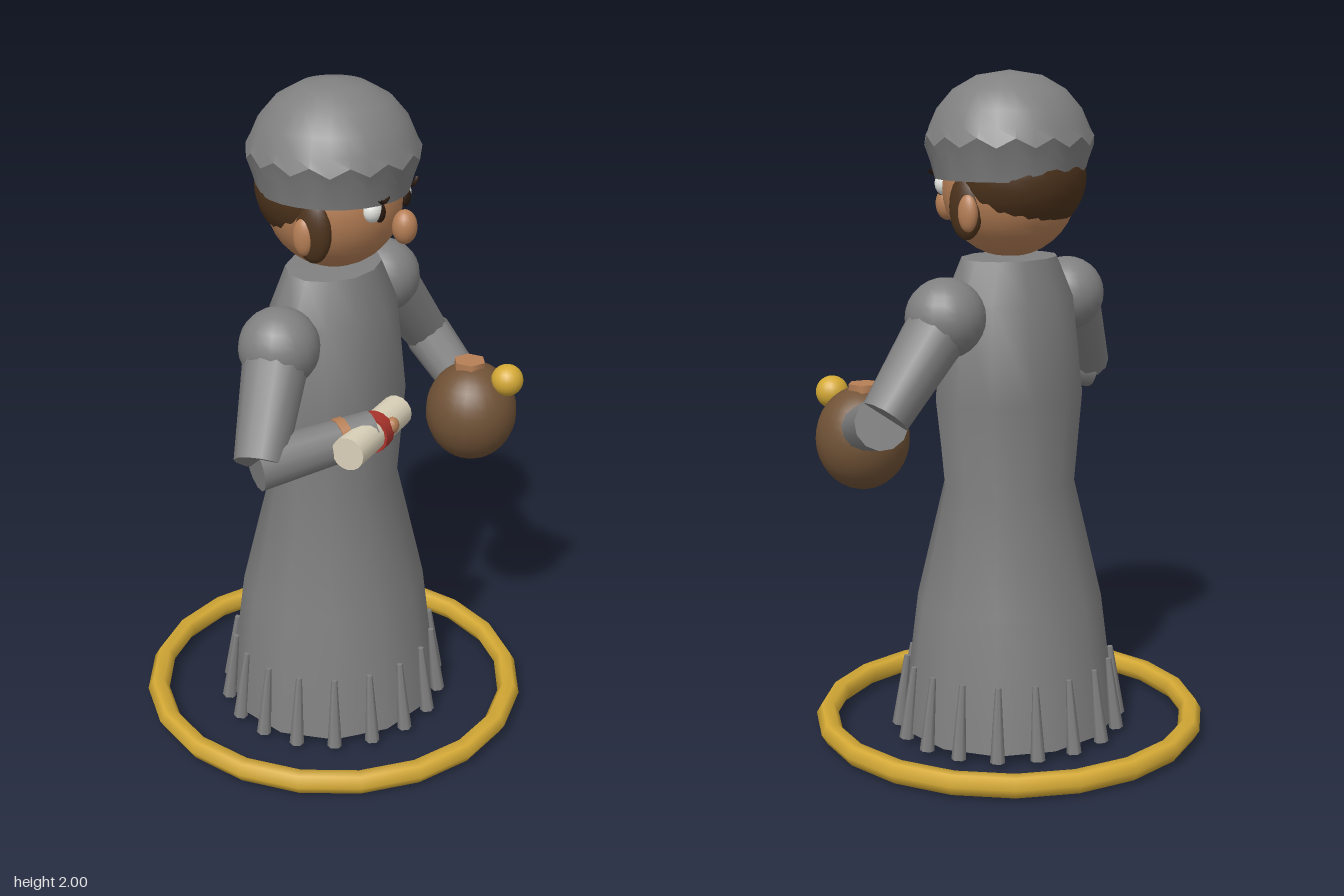
import * as THREE from 'three';
import { toCreasedNormals } from 'three/addons/utils/BufferGeometryUtils.js';

const paint = (name, color) => Object.assign(new THREE.MeshStandardMaterial({ color }), { name });

export function createModel() {
  const grey = paint('grey cloth', 0x808080);
  const skin = paint('skin', 0xb67f56);
  const hairBrown = paint('dark brown hair', 0x4d331c);
  const potBrown = paint('brown pot', 0x705236);
  const gold = paint('gold', 0xd4a935);
  const cream = paint('cream paper', 0xd9d0b8);
  const red = paint('red ribbon', 0xa8342c);
  const white = paint('eye white', 0xf2f2ee);
  const dark = paint('dark pupil', 0x2c1c12);

  const model = new THREE.Group();
  model.name = 'robedFigure';
  const V = (a) => new THREE.Vector3(...a);

  function add(name, geometry, material, pos = [0, 0, 0]) {
    const mesh = new THREE.Mesh(geometry, material);
    mesh.name = name;
    mesh.position.set(...pos);
    model.add(mesh);
    return mesh;
  }
  const ellipsoid = (name, material, pos, r, w = 20, h = 14) => {
    const mesh = add(name, new THREE.SphereGeometry(1, w, h), material, pos);
    mesh.scale.set(...r);
    return mesh;
  };
  // Tapered cylinder running from a to b
  function limb(name, material, a, b, ra, rb, sides = 12) {
    const dir = V(b).sub(V(a));
    const mesh = add(name, new THREE.CylinderGeometry(rb, ra, dir.length(), sides), material);
    mesh.position.copy(V(a)).addScaledVector(dir, 0.5);
    mesh.quaternion.setFromUnitVectors(new THREE.Vector3(0, 1, 0), dir.normalize());
    return mesh;
  }

  // Halo ring lying on the ground
  const ring = add('groundRing', new THREE.TorusGeometry(0.565, 0.034, 6, 20), gold, [0, 0.04, 0]);
  ring.rotation.x = Math.PI / 2;

  // Robe: oval sections [y, half width in x, half width in z]
  const sections = [
    [0.03, 0, 0], [0.03, 0.325, 0.345], [0.42, 0.275, 0.3], [0.78, 0.185, 0.228],
    [1.05, 0.2, 0.27], [1.34, 0.17, 0.24], [1.46, 0.13, 0.17], [1.47, 0, 0],
  ];
  const robe = new THREE.LatheGeometry(sections.map(([y, rx]) => new THREE.Vector2(rx, y)), 12);
  const rp = robe.attributes.position;
  for (let i = 0; i < rp.count; i++) {
    const [, rx, rz] = sections[i % sections.length];
    if (rx > 0) rp.setZ(i, rp.getZ(i) * rz / rx);
  }
  add('robe', toCreasedNormals(robe, 0.75), grey);

  // Tassels around the hem
  for (let i = 0; i < 18; i++) {
    const a = (i / 18) * Math.PI * 2;
    const c = Math.cos(a), s = Math.sin(a);
    limb('tassel', grey, [0.335 * c, 0.015, 0.355 * s], [0.308 * c, 0.235, 0.328 * s], 0.022, 0.009, 6);
  }

  // Head, hair and nose
  ellipsoid('head', skin, [0, 1.66, 0], [0.2, 0.2, 0.195], 24, 18);
  ellipsoid('hair', hairBrown, [-0.035, 1.695, 0], [0.193, 0.18, 0.203], 24, 18);
  ellipsoid('nose', skin, [0.225, 1.605, 0], [0.036, 0.05, 0.036]);

  // Cap with a scalloped brim
  const cap = new THREE.LatheGeometry([
    [0.16, 1.70], [0.218, 1.69], [0.232, 1.755], [0.248, 1.80], [0.234, 1.84],
    [0.212, 1.89], [0.165, 1.945], [0.095, 1.985], [0, 2],
  ].map(([r, y]) => new THREE.Vector2(r, y)), 28);
  const cp = cap.attributes.position;
  for (let i = 0; i < cp.count; i++) {
    const row = i % 9, column = Math.floor(i / 9);
    if (row === 2 || row === 3) cp.setY(i, cp.getY(i) + (column % 2 ? 0.014 : -0.014));
  }
  add('cap', toCreasedNormals(cap, 0.55), grey);

  for (const s of [1, -1]) {
    // Sidelocks, ears, eyes and brows
    ellipsoid('sidelock', hairBrown, [0.03, 1.615, s * 0.175], [0.056, 0.095, 0.032]);
    ellipsoid('ear', skin, [0.01, 1.6, s * 0.195], [0.032, 0.055, 0.022]);
    ellipsoid('eyeWhite', white, [0.168, 1.672, s * 0.088], [0.03, 0.036, 0.034]);
    ellipsoid('pupil', dark, [0.188, 1.664, s * 0.08], [0.014, 0.028, 0.02]);
    const brow = add('brow', new THREE.TorusGeometry(0.035, 0.006, 6, 10, Math.PI * 0.6), dark, [0.205, 1.735, s * 0.09]);
    brow.rotation.set(0, Math.PI / 2, Math.PI * 1.2, 'YXZ');

    // Feet under the hem
    add('foot', new THREE.BoxGeometry(0.25, 0.06, 0.1), hairBrown, [0.11, 0.03, s * 0.1]);

    // Shoulders and upper arms
    ellipsoid('shoulder', grey, [0, 1.315, s * 0.32], [0.115, 0.115, 0.115]);
    limb('upperArm', grey, [0, 1.31, s * 0.33], [0.055, 1.06, s * 0.53], 0.095, 0.072);
  }

  // Forearm holding the scroll
  limb('leftForearm', grey, [0.045, 1.05, 0.535], [0.26, 1.092, 0.26], 0.07, 0.058);
  limb('leftWristBand', skin, [0.195, 1.08, 0.344], [0.211, 1.083, 0.322], 0.064, 0.064);

  // Scroll with ribbon and seal
  limb('scroll', cream, [0.262, 1.085, 0.41], [0.258, 1.085, 0.1], 0.048, 0.048, 16);
  limb('ribbon', red, [0.26, 1.085, 0.275], [0.26, 1.085, 0.232], 0.056, 0.056, 16);
  ellipsoid('seal', skin, [0.303, 1.1, 0.22], [0.02, 0.025, 0.024], 12, 8);

  // Forearm holding the pot
  limb('rightForearm', grey, [0.055, 1.045, -0.545], [0.25, 0.98, -0.385], 0.077, 0.066);

  // Round pot with plug and gold ball
  ellipsoid('pot', potBrown, [0.315, 0.93, -0.31], [0.14, 0.155, 0.14], 24, 18);
  add('potPlug', new THREE.CylinderGeometry(0.05, 0.05, 0.04, 6), skin, [0.305, 1.075, -0.31]).rotation.y = Math.PI / 6;
  ellipsoid('goldBall', gold, [0.43, 1.055, -0.31], [0.049, 0.049, 0.049]);

  return model;
}
